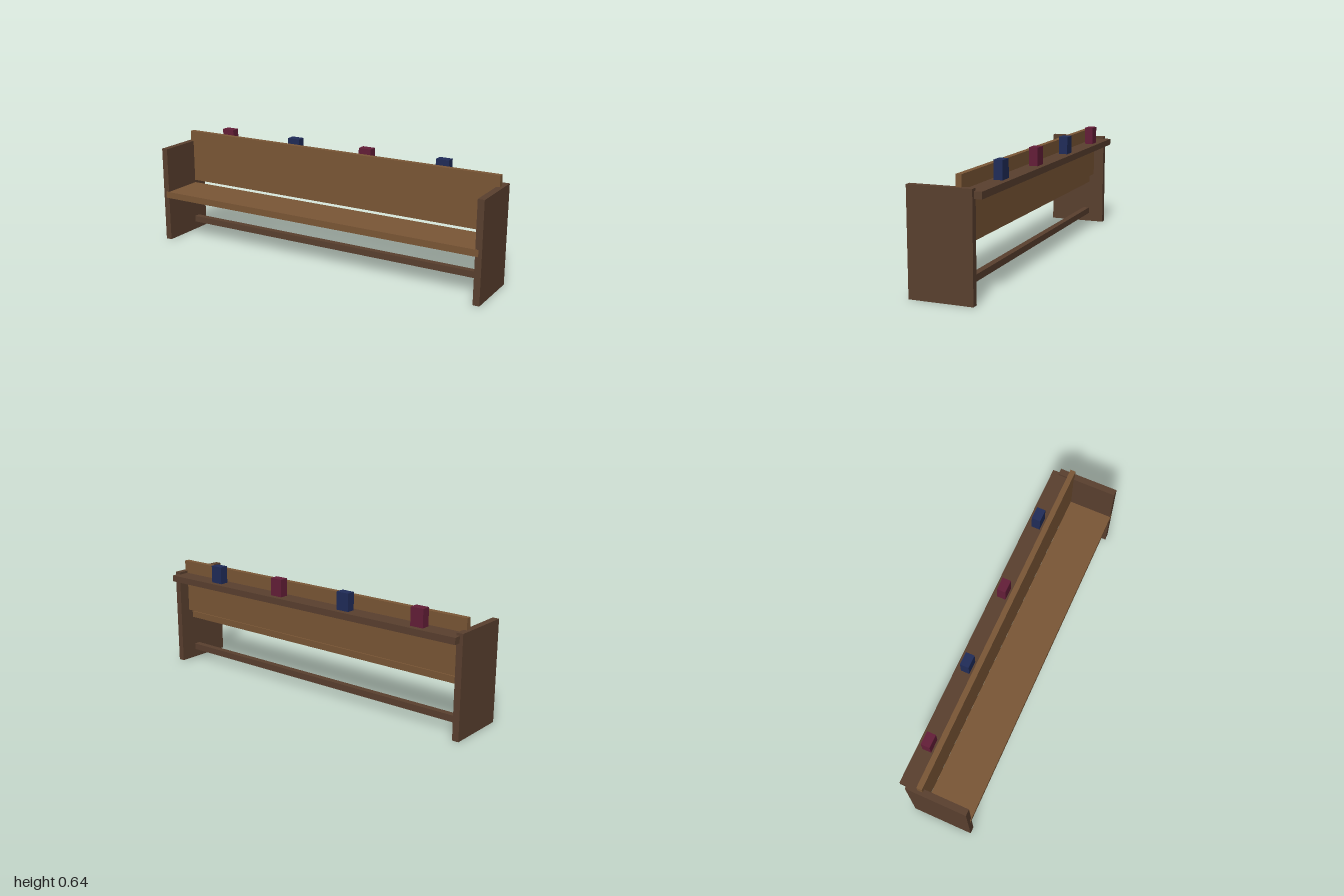
import * as THREE from 'three';

export function createModel() {
  const model = new THREE.Group();
  model.name = 'pew';

  const material = (name, color) => {
    const m = new THREE.MeshStandardMaterial({ color });
    m.name = name;
    return m;
  };
  const lightWood = material('lightWood', 0x7b5736);
  const darkWood = material('darkWood', 0x5a402f);
  const redCover = material('redCover', 0x641e38);
  const blueCover = material('blueCover', 0x202c59);

  // Box given by its extents along each axis
  const addBox = (name, mat, [x0, x1], [y0, y1], [z0, z1]) => {
    const mesh = new THREE.Mesh(new THREE.BoxGeometry(x1 - x0, y1 - y0, z1 - z0), mat);
    mesh.position.set((x0 + x1) / 2, (y0 + y1) / 2, (z0 + z1) / 2);
    mesh.name = name;
    model.add(mesh);
  };

  // End panels
  addBox('leftEndPanel', darkWood, [0.964, 1], [0, 0.553], [-0.15, 0.188]);
  addBox('rightEndPanel', darkWood, [-1, -0.964], [0, 0.553], [-0.15, 0.188]);

  // Seat and backrest, separated by a narrow gap
  const span = [-0.982, 0.982];
  addBox('seat', lightWood, span, [0.258, 0.295], [-0.06, 0.191]);
  addBox('backrest', lightWood, span, [0.31, 0.613], [-0.088, -0.058]);

  // Book ledge behind the backrest, and the low stretcher
  addBox('bookLedge', darkWood, span, [0.504, 0.54], [-0.19, -0.088]);
  addBox('stretcher', darkWood, [-0.95, 0.95], [0.054, 0.09], [-0.063, -0.027]);

  // Books standing on the ledge, alternating in colour
  for (let i = 0; i < 4; i++) {
    const x = -0.742 + i * 0.461;
    addBox(`book${i + 1}`, i % 2 ? blueCover : redCover,
      [x - 0.037, x + 0.037], [0.54, 0.638], [-0.16, -0.111]);
  }

  return model;
}
